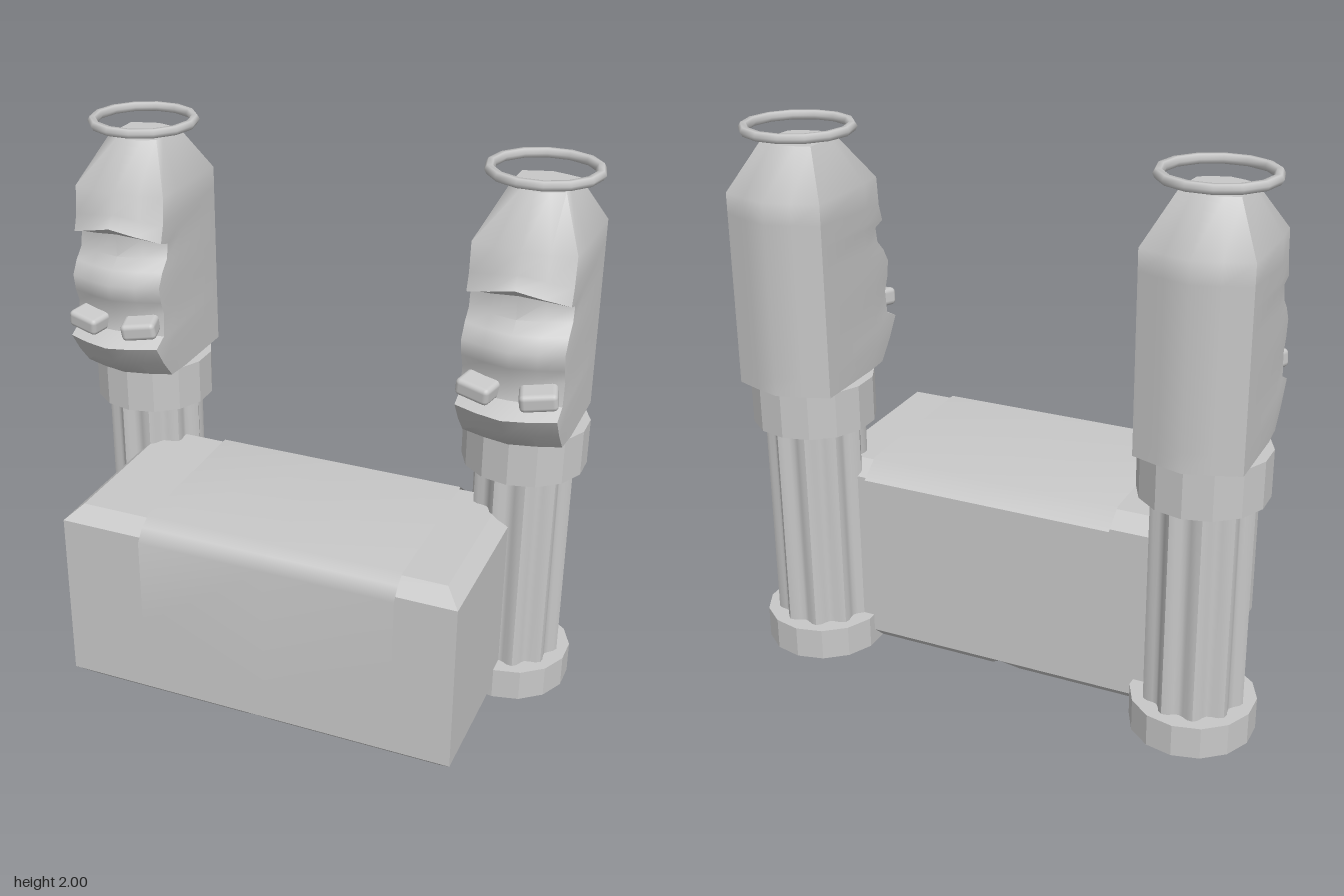
import * as THREE from 'three';
import { toCreasedNormals } from 'three/addons/utils/BufferGeometryUtils.js';
import { ConvexGeometry } from 'three/addons/geometries/ConvexGeometry.js';
import { RoundedBoxGeometry } from 'three/addons/geometries/RoundedBoxGeometry.js';

const stone = new THREE.MeshStandardMaterial({ color: 0xc8c8c8 });
stone.name = 'stone';
const cloth = new THREE.MeshStandardMaterial({ color: 0xc8c8c8, side: THREE.DoubleSide });
cloth.name = 'cloth';

function add(parent, name, geometry, x = 0, y = 0, z = 0, material = stone) {
  const mesh = new THREE.Mesh(geometry, material);
  mesh.name = name;
  mesh.position.set(x, y, z);
  parent.add(mesh);
  return mesh;
}

// Join rows of points; rings close on themselves and may be capped
function loft(rows, closed) {
  const n = rows[0].length;
  const pos = rows.flat(2);
  const index = [];
  for (let r = 0; r < rows.length - 1; r++) {
    for (let i = 0; i < (closed ? n : n - 1); i++) {
      const j = (i + 1) % n;
      const a = r * n + i, b = r * n + j;
      index.push(a, b, b + n, a, b + n, a + n);
    }
  }
  if (closed) {
    const top = (rows.length - 1) * n;
    for (let i = 1; i < n - 1; i++) {
      index.push(0, i + 1, i, top, top + i, top + i + 1);
    }
  }
  const g = new THREE.BufferGeometry();
  g.setAttribute('position', new THREE.Float32BufferAttribute(pos, 3));
  g.setIndex(index);
  g.computeVertexNormals();
  return g;
}

// Half of the altar block, chamfered on every outer edge and at the bottom seam
function altarHalf(side) {
  const points = [];
  const level = (y, x0, x1, z0, z1) => {
    for (const x of [x0, x1]) for (const z of [z0, z1]) points.push(new THREE.Vector3(side * x, y, z));
  };
  level(0, 0.055, 0.69, -0.21, 0.42);
  level(0.055, 0, 0.745, -0.27, 0.48);
  level(0.7, 0, 0.745, -0.27, 0.48);
  level(0.75, 0, 0.69, -0.21, 0.42);
  return new ConvexGeometry(points);
}

// Thin sheet over the block, with a pointed front hem
function clothSheet() {
  const columns = [[-0.43, 0.35], [0.05, 0.135], [0.53, 0.35]];
  const rows = [];
  const row = (y, z) => rows.push(columns.map(([x]) => [x, y, z]));
  rows.push(columns.map(([x, hem]) => [x, hem, 0.5]));
  row(0.69, 0.5);
  row(0.735, 0.465);
  row(0.76, 0.42);
  row(0.76, -0.21);
  row(0.7, -0.29);
  return loft(rows, false);
}

// Fluted shaft as a scalloped outline
function shaftGeometry() {
  const points = [];
  for (let i = 0; i < 60; i++) {
    const a = (i / 60) * Math.PI * 2;
    const r = 0.168 + 0.014 * Math.cos(10 * a);
    points.push(new THREE.Vector2(r * Math.cos(a), r * Math.sin(a)));
  }
  const g = new THREE.ExtrudeGeometry(new THREE.Shape(points), { depth: 0.83, bevelEnabled: false });
  g.rotateX(-Math.PI / 2);
  return toCreasedNormals(g, 0.8);
}

// Carved head: y, front z at centre, front z at sides, side drop, half width, back z at centre and sides
function headGeometry() {
  const sections = [
    [1.08, -0.01, -0.06, 0],
    [1.15, 0.06, 0, 0],
    [1.225, 0.11, 0.05, 0],
    [1.265, 0.03, -0.01, 0.01],
    [1.34, 0.02, -0.02, 0],
    [1.39, 0.05, 0, 0],
    [1.45, 0.06, 0.01, 0],
    [1.5, 0.03, -0.02, 0],
    [1.54, -0.01, -0.06, 0],
    [1.625, -0.01, -0.07, 0.03],
    [1.66, 0.04, -0.02, 0.05],
    [1.7, 0, -0.04, 0.03],
    [1.775, -0.01, -0.05, 0],
    [1.94, -0.13, -0.17, 0, 0.1, -0.37, -0.34],
  ];
  const mix = THREE.MathUtils.lerp;
  const rows = sections.map(([y, zc, zs, drop, w = 0.185, bc = -0.5, bs = -0.44]) => {
    const half = [
      [w * 0.5, y - drop * 0.5, mix(zc, zs, 0.4)],
      [w * 0.96, y - drop, zs],
      [w, y - drop * 0.6, mix(zs, bs, 0.25)],
      [w, y, bs],
      [w * 0.5, y, mix(bc, bs, 0.45)],
    ];
    const other = half.map(([x, py, z]) => [-x, py, z]).reverse();
    return [[0, y, zc], ...half, [0, y, bc], ...other];
  });
  return toCreasedNormals(loft(rows, true), 0.85);
}

export function createModel() {
  const model = new THREE.Group();
  model.name = 'altarWithColumns';

  // Altar and its covering
  const altar = new THREE.Group();
  altar.name = 'altar';
  model.add(altar);
  for (const side of [-1, 1]) add(altar, side < 0 ? 'blockRight' : 'blockLeft', altarHalf(side));
  add(altar, 'altarCloth', clothSheet(), 0, 0, 0, cloth);

  // Columns with carved heads and halos
  const shaft = shaftGeometry();
  const head = headGeometry();
  const drum = (h) => toCreasedNormals(new THREE.CylinderGeometry(0.224, 0.224, h, 14), 0.3);
  const base = drum(0.12);
  const capital = drum(0.17);
  const halo = new THREE.TorusGeometry(0.185, 0.018, 6, 14);
  halo.rotateX(Math.PI / 2);
  const eye = new RoundedBoxGeometry(0.13, 0.065, 0.1, 2, 0.018);
  for (const side of [-1, 1]) {
    const column = new THREE.Group();
    column.name = side < 0 ? 'columnRight' : 'columnLeft';
    column.position.x = side * 0.746;
    model.add(column);
    add(column, 'base', base, 0, 0.06, -0.254);
    add(column, 'shaft', shaft, 0, 0.1, -0.254);
    add(column, 'capital', capital, 0, 0.995, -0.254);
    add(column, 'head', head);
    add(column, 'halo', halo, 0, 1.982, -0.257);
    for (const s of [-1, 1]) {
      const lump = add(column, s < 0 ? 'eyeRight' : 'eyeLeft', eye, s * 0.105, 1.295, 0.03);
      lump.rotation.set(0.1, s * 0.25, s * 0.1);
    }
  }
  return model;
}
